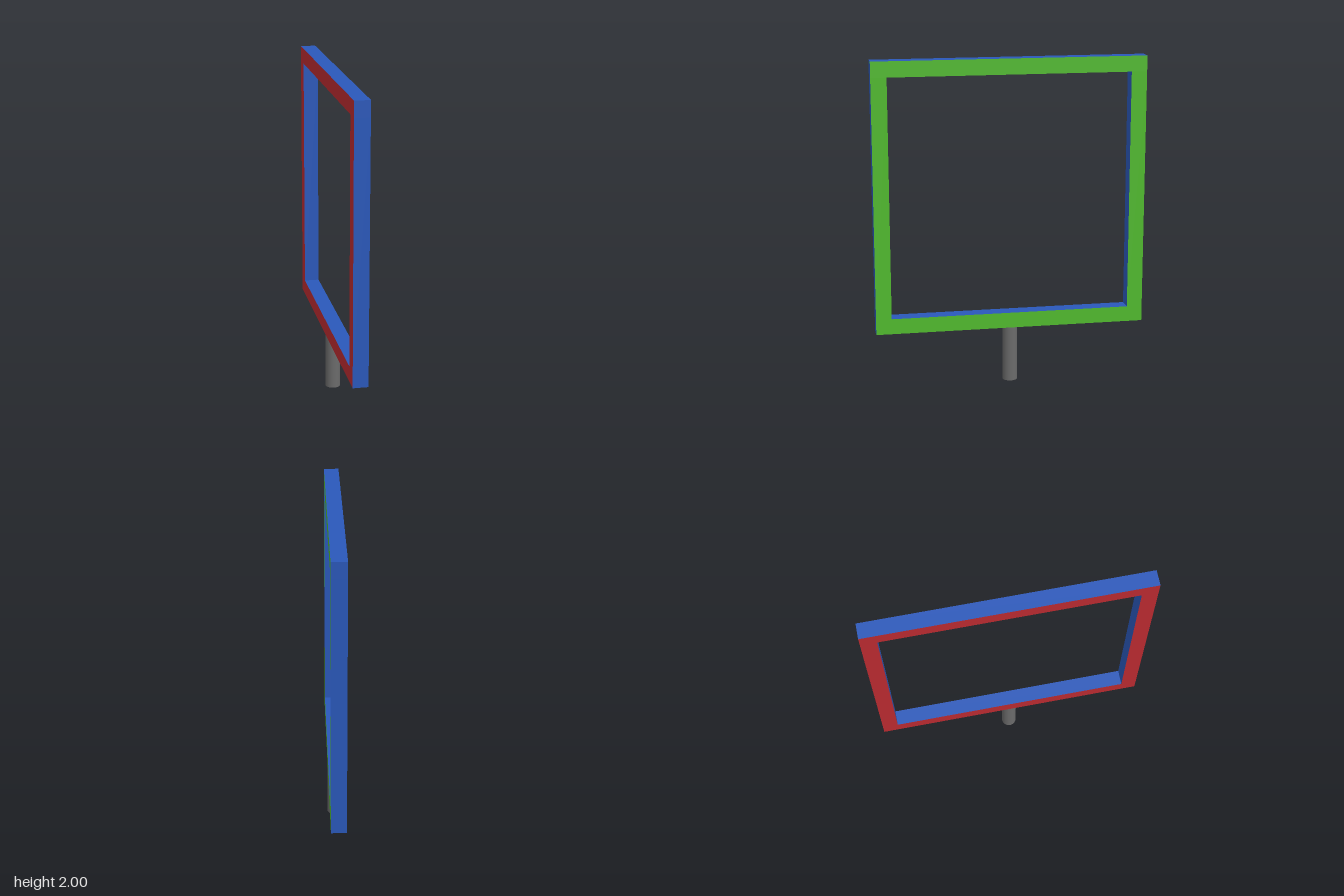
import * as THREE from 'three';

function paint(name, color) {
  const m = new THREE.MeshStandardMaterial({ color });
  m.name = name;
  return m;
}

export function createModel() {
  const green = paint('green', 0x50ba2d);
  const red = paint('red', 0xba2a30);
  const blue = paint('blue', 0x2a58ba);
  const grey = paint('grey', 0x6a6a6a);

  const group = new THREE.Group();
  group.name = 'ringOnPost';

  const bottom = 0.345, top = 2, bar = 0.095, depth = 0.092;
  const width = top - bottom;
  const middle = (top + bottom) / 2;

  // One bar of the square frame: green on +x, red on -x, blue edges
  function addBar(name, height, length, y, z, underside = blue) {
    const mesh = new THREE.Mesh(
      new THREE.BoxGeometry(depth, height, length),
      [green, red, blue, underside, blue, blue]
    );
    mesh.name = name;
    mesh.position.set(0, y, z);
    group.add(mesh);
  }

  // Top and bottom bars span the full width; the underside is green
  addBar('topBar', bar, width, top - bar / 2, 0);
  addBar('bottomBar', bar, width, bottom + bar / 2, 0, green);

  // Upright bars fit between them
  for (const side of [1, -1]) {
    addBar(side > 0 ? 'frontBar' : 'backBar', width - 2 * bar, bar, middle, side * (width - bar) / 2);
  }

  // Round post under the frame
  const post = new THREE.Mesh(new THREE.CylinderGeometry(0.046, 0.046, bottom, 32), grey);
  post.name = 'post';
  post.position.y = bottom / 2;
  group.add(post);

  return group;
}
